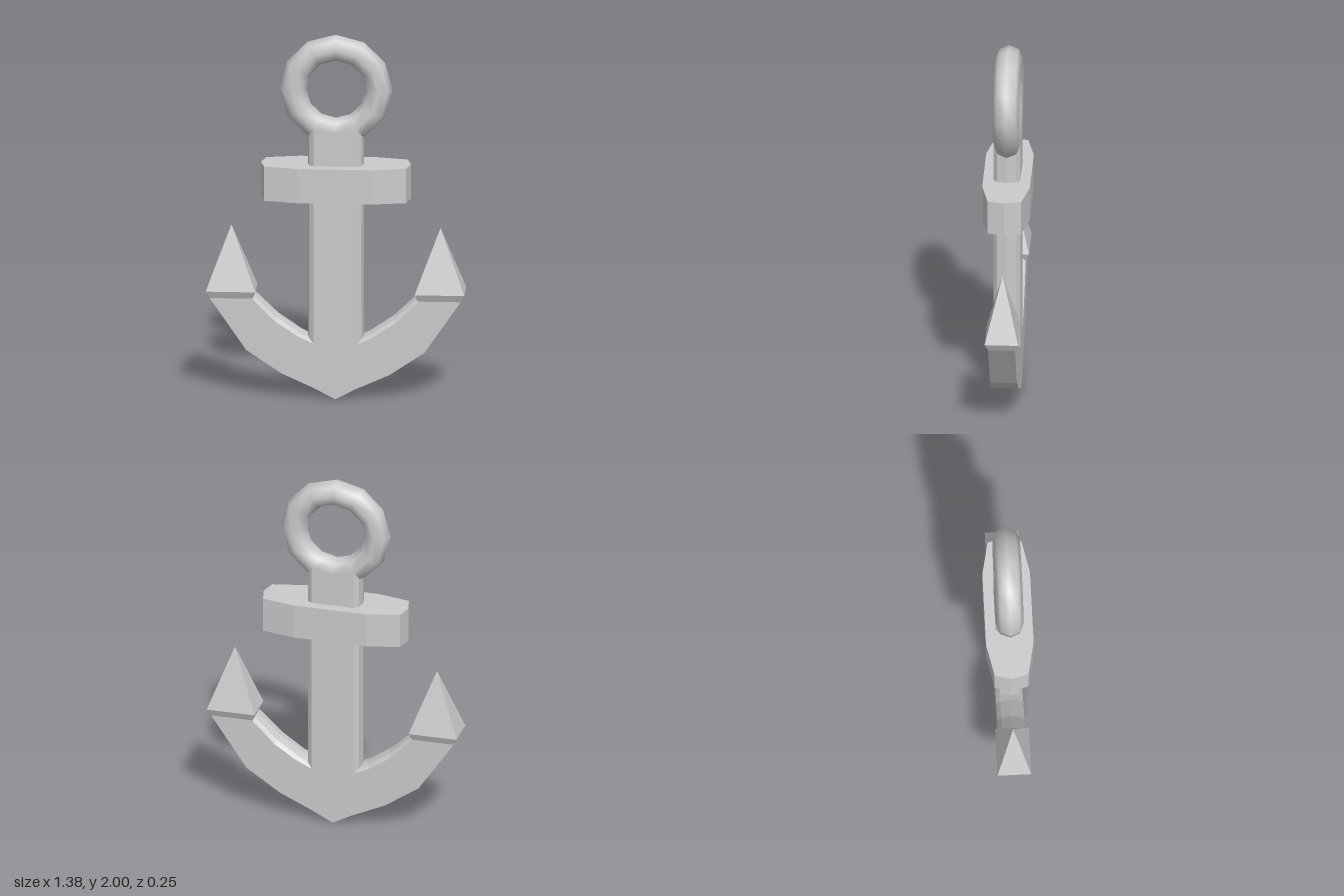
import * as THREE from 'three';

const material = new THREE.MeshStandardMaterial({ color: 0xcccccc });
const flatMaterial = new THREE.MeshStandardMaterial({ color: 0xcccccc, flatShading: true });

// Skins a list of equal-length cross-section loops and caps both ends
function loft(rings, flip = false) {
  const pos = [];
  const tri = (a, b, c) => {
    const [p, q, r] = (flip ? [a, c, b] : [a, b, c]).map((v) => new THREE.Vector3(...v));
    if (new THREE.Triangle(p, q, r).getArea() < 1e-8) return;
    for (const v of [p, q, r]) pos.push(v.x, v.y, v.z);
  };
  const n = rings[0].length;
  for (let i = 0; i < rings.length - 1; i++) {
    for (let j = 0; j < n; j++) {
      const k = (j + 1) % n;
      tri(rings[i][j], rings[i][k], rings[i + 1][k]);
      tri(rings[i][j], rings[i + 1][k], rings[i + 1][j]);
    }
  }
  const first = rings[0], last = rings[rings.length - 1];
  for (let j = 1; j < n - 1; j++) {
    tri(first[0], first[j + 1], first[j]);
    tri(last[0], last[j], last[j + 1]);
  }
  const geometry = new THREE.BufferGeometry();
  geometry.setAttribute('position', new THREE.Float32BufferAttribute(pos, 3));
  geometry.computeVertexNormals();
  return geometry;
}

function add(parent, name, geometry, mat = flatMaterial) {
  const mesh = new THREE.Mesh(geometry, mat);
  mesh.name = name;
  parent.add(mesh);
  return mesh;
}

const T = 0.072; // half thickness of the flat faces
const M = 0.051; // half thickness at the bevels

export function createModel() {
  const anchor = new THREE.Group();
  anchor.name = 'anchor';

  // Ring at the top
  add(anchor, 'ring', new THREE.TorusGeometry(0.23, T, 8, 12), material).position.y = 1.7;

  // Shank with bevelled sides; its top follows the lower part of the ring
  const quarter = [[0.15, 0, 1.44], [0.14, M, 1.457], [0.115, T, 1.5], [0, T, 1.47]];
  const section = [
    ...quarter.map(([x, z, y]) => [x, y, -z]),
    ...quarter.slice(0, 3).reverse().map(([x, z, y]) => [-x, y, -z]),
    ...quarter.slice(1).map(([x, z, y]) => [-x, y, z]),
    ...quarter.slice(1, 3).reverse().map(([x, z, y]) => [x, y, z]),
  ];
  add(anchor, 'shank', loft([section.map(([x, , z]) => [x, 0.3, z]), section]));

  // Stock: crossbar tapering towards its ends
  const half = [[0.4, 0], [0.378, 0.09], [0.2, 0.127]];
  const outline = [
    ...half,
    ...half.slice(1).reverse().map(([x, z]) => [-x, z]),
    ...half.map(([x, z]) => [-x, -z]),
    ...half.slice(1).reverse().map(([x, z]) => [x, -z]),
  ].map(([x, z]) => new THREE.Vector2(x, z));
  const stock = new THREE.ExtrudeGeometry(new THREE.Shape(outline), { depth: 0.19, bevelEnabled: false });
  stock.rotateX(-Math.PI / 2);
  add(anchor, 'stock', stock).position.y = 1.1;

  // Arm stations: outer corner, inner face edge, inner ridge
  const stations = [
    [[0, 0], [0, 0.305], [0, 0.32]],
    [[0.11, 0.058], [0.115, 0.305], [0.115, 0.325]],
    [[0.29, 0.14], [0.2, 0.345], [0.18, 0.36]],
    [[0.475, 0.265], [0.32, 0.425], [0.305, 0.447]],
    [[0.67, 0.55], [0.445, 0.55], [0.435, 0.57]],
  ];
  // Fluke levels: x range, y and half depth
  const levels = [
    [0.44, 0.67, 0.55, T],
    [0.425, 0.69, 0.59, 0.09],
    [0.558, 0.558, 0.94, 0],
  ];
  for (const s of [1, -1]) {
    const side = s > 0 ? 'left' : 'right';
    const arm = stations.map(([o, e, r]) => {
      const mx = s * (e[0] * 0.3 + r[0] * 0.7), my = e[1] * 0.3 + r[1] * 0.7;
      return [
        [s * o[0], o[1], T], [s * o[0], o[1], -T],
        [s * e[0], e[1], -T], [mx, my, -M], [s * r[0], r[1], 0],
        [mx, my, M], [s * e[0], e[1], T],
      ];
    });
    add(anchor, side + 'Arm', loft(arm, s < 0));

    // Pointed fluke on the end of the arm
    const fluke = levels.map(([a, b, y, z]) => [
      [s * b, y, z], [s * b, y, -z], [s * a, y, -z], [s * a, y, z],
    ]);
    add(anchor, side + 'Fluke', loft(fluke, s < 0));
  }
  return anchor;
}
